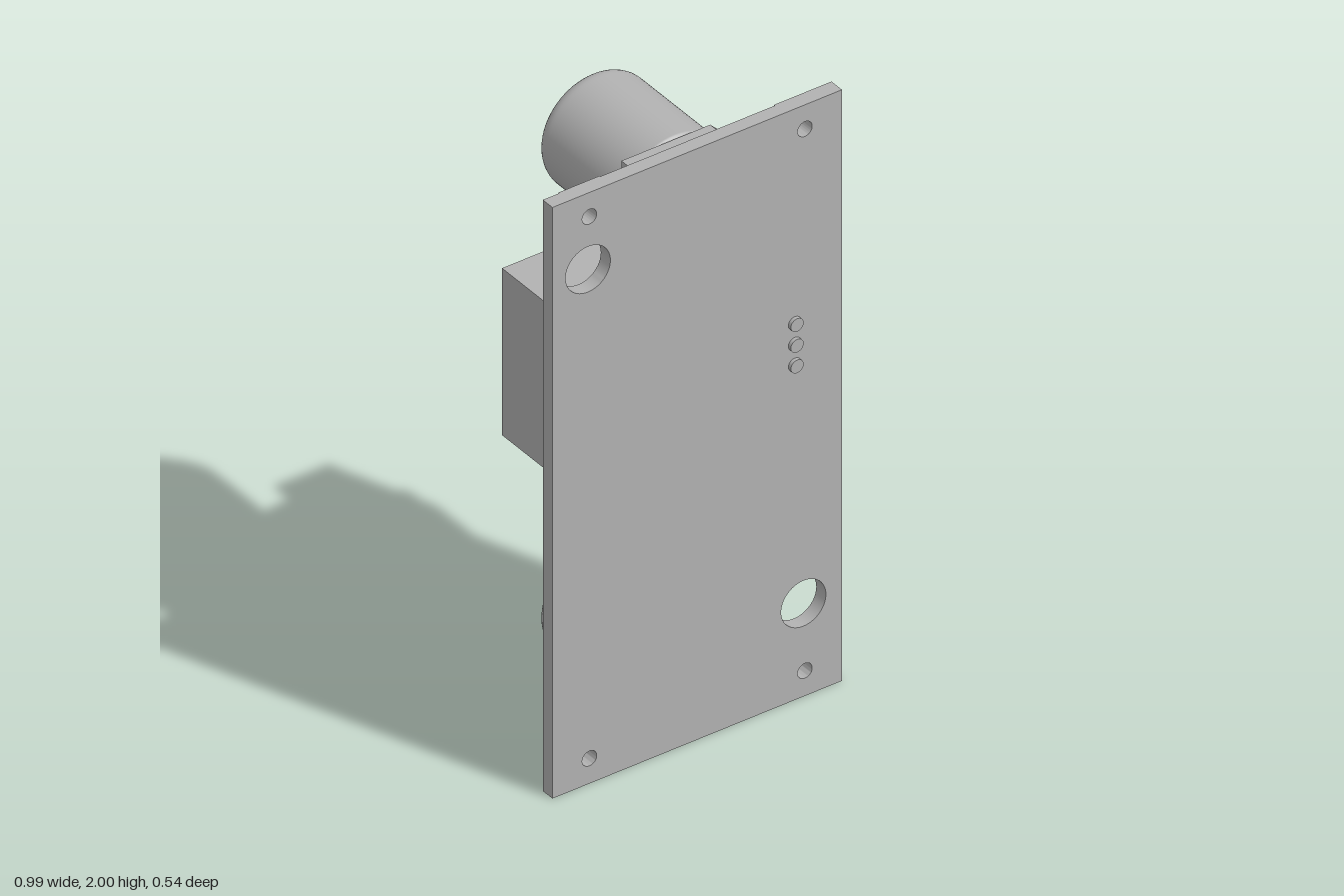
import * as THREE from 'three';
import { toCreasedNormals } from 'three/addons/utils/BufferGeometryUtils.js';

const BACK = 0.212; // z of the component side of the board

export function createModel() {
  const group = new THREE.Group();
  const grey = new THREE.MeshStandardMaterial({ color: 0xb2b2b2 });
  grey.name = 'plain grey';

  function add(name, geometry, x = 0, y = 0, z = 0) {
    const mesh = new THREE.Mesh(geometry, grey);
    mesh.name = name;
    mesh.position.set(x, y, z);
    group.add(mesh);
    return mesh;
  }
  // box given by its limits on each axis
  function box(name, x0, x1, y0, y1, z0, z1) {
    return add(name, new THREE.BoxGeometry(x1 - x0, y1 - y0, z1 - z0),
      (x0 + x1) / 2, (y0 + y1) / 2, (z0 + z1) / 2);
  }
  // rod along z
  function rod(name, r, x, y, z0, z1) {
    return add(name, new THREE.CylinderGeometry(r, r, z1 - z0, 32).rotateX(Math.PI / 2),
      x, y, (z0 + z1) / 2);
  }
  function polygon(points) {
    return new THREE.Shape(points.map(([x, y]) => new THREE.Vector2(x, y)));
  }
  function extrude(shape, depth) {
    const geometry = new THREE.ExtrudeGeometry(shape, { depth, bevelEnabled: false, curveSegments: 24 });
    return toCreasedNormals(geometry, 0.6);
  }
  function rect(x0, x1, y0, y1) {
    return polygon([[x0, y0], [x1, y0], [x1, y1], [x0, y1]]);
  }
  function drill(shape, x, y, r) {
    shape.holes.push(new THREE.Path().absarc(x, y, r, 0, Math.PI * 2, true));
  }

  // circuit board with mounting holes and two large holes
  const W = 0.497;
  const board = rect(-W, W, 0, 2);
  for (const x of [-0.37, 0.37]) for (const y of [0.085, 1.918]) drill(board, x, y, 0.025);
  drill(board, -0.375, 1.742, 0.077);
  drill(board, 0.365, 0.315, 0.077);
  add('board', extrude(board, 0.046), 0, 0, BACK);

  // thin corner pads around the mounting holes
  for (const [y0, y1, hy] of [[0, 0.14, 0.085], [1.86, 2, 1.918]]) {
    for (const [x0, x1, hx] of [[-0.44, -0.3, -0.37], [0.3, W, 0.37]]) {
      const pad = rect(x0, x1, y0, y1);
      drill(pad, hx, hy, 0.025);
      add('cornerPad', extrude(pad, 0.005), 0, 0, BACK - 0.004);
    }
  }

  // two capacitors: chamfered base and a rounded can
  const R = 0.188, L = 0.424, F = 0.047;
  const profile = [[R - 0.012, 0], [R, 0.012], [R, 0.02], [R, L - F - 0.01]];
  for (let i = 0; i <= 8; i++) {
    const a = (i / 8) * Math.PI / 2;
    profile.push([R - F + F * Math.cos(a), L - F + F * Math.sin(a)]);
  }
  profile.push([R - F - 0.01, L], [0, L]);
  const can = new THREE.LatheGeometry(profile.map(p => new THREE.Vector2(...p)), 64).rotateX(-Math.PI / 2);
  const base = polygon([[-0.195, -0.188], [0.11, -0.188], [0.19, -0.11], [0.19, 0.11], [0.11, 0.188], [-0.195, 0.188]]);
  for (const y of [0.208, 1.798]) {
    add('capacitorBase', extrude(base, 0.045), 0, y, 0.167);
    add('capacitorCan', can, 0, y, 0.167);
  }

  // inductor: solid block topped by a frame whose corner pockets surround a round core
  const cx = -0.1125, cy = 1.2575, H = 0.2825, POCKET = 0.08;
  box('inductorBlock', cx - H, cx + H, cy - H, cy + H, -0.125 + POCKET, BACK);
  const frame = rect(-H, H, -H, H);
  const inner = 0.243, coreR = 0.252;
  const a0 = Math.acos(inner / coreR) + 0.02;
  for (let q = 0; q < 4; q++) {
    const turn = q * Math.PI / 2;
    const pocket = [];
    for (let i = 0; i <= 14; i++) {
      const a = turn + a0 + (Math.PI / 2 - 2 * a0) * (i / 14);
      pocket.push(new THREE.Vector2(coreR * Math.cos(a), coreR * Math.sin(a)));
    }
    const d = inner * Math.SQRT2, c = turn + Math.PI / 4;
    pocket.push(new THREE.Vector2(d * Math.cos(c), d * Math.sin(c)));
    frame.holes.push(new THREE.Path(pocket));
  }
  add('inductorFrame', extrude(frame, POCKET), cx, cy, -0.125);

  // trimmer with its adjusting screw and three pins through the board
  box('trimmerBody', 0.222, 0.412, 1.142, 1.58, -0.2, BACK);
  rod('trimmerScrew', 0.036, 0.367, 1.18, -0.27, -0.2);
  for (const y of [1.135, 1.205, 1.275]) rod('trimmerPin', 0.022, 0.335, y, 0.255, 0.27);

  // regulator chip with metal tab
  box('chipTab', 0.06, 0.36, 0.455, 0.905, 0.167, BACK);
  box('chipBody', -0.005, 0.325, 0.475, 0.89, 0, 0.167);

  // five bent leads: side outline (x, z) offset along z, extruded across y
  const bend = new THREE.CubicBezierCurve(
    new THREE.Vector2(-0.1, 0.09), new THREE.Vector2(-0.2, 0.09),
    new THREE.Vector2(-0.19, 0.187), new THREE.Vector2(-0.28, 0.187));
  const line = [new THREE.Vector2(0.01, 0.09), ...bend.getPoints(10), new THREE.Vector2(-0.372, 0.187)];
  const under = line.map(p => new THREE.Vector2(p.x - 0.004, p.y + 0.025)).reverse();
  const lead = extrude(new THREE.Shape([...line, ...under]), 0.03).rotateX(Math.PI / 2);
  for (let i = -2; i <= 2; i++) add('chipLead', lead, 0, 0.698 + i * 0.081, 0);

  return group;
}
